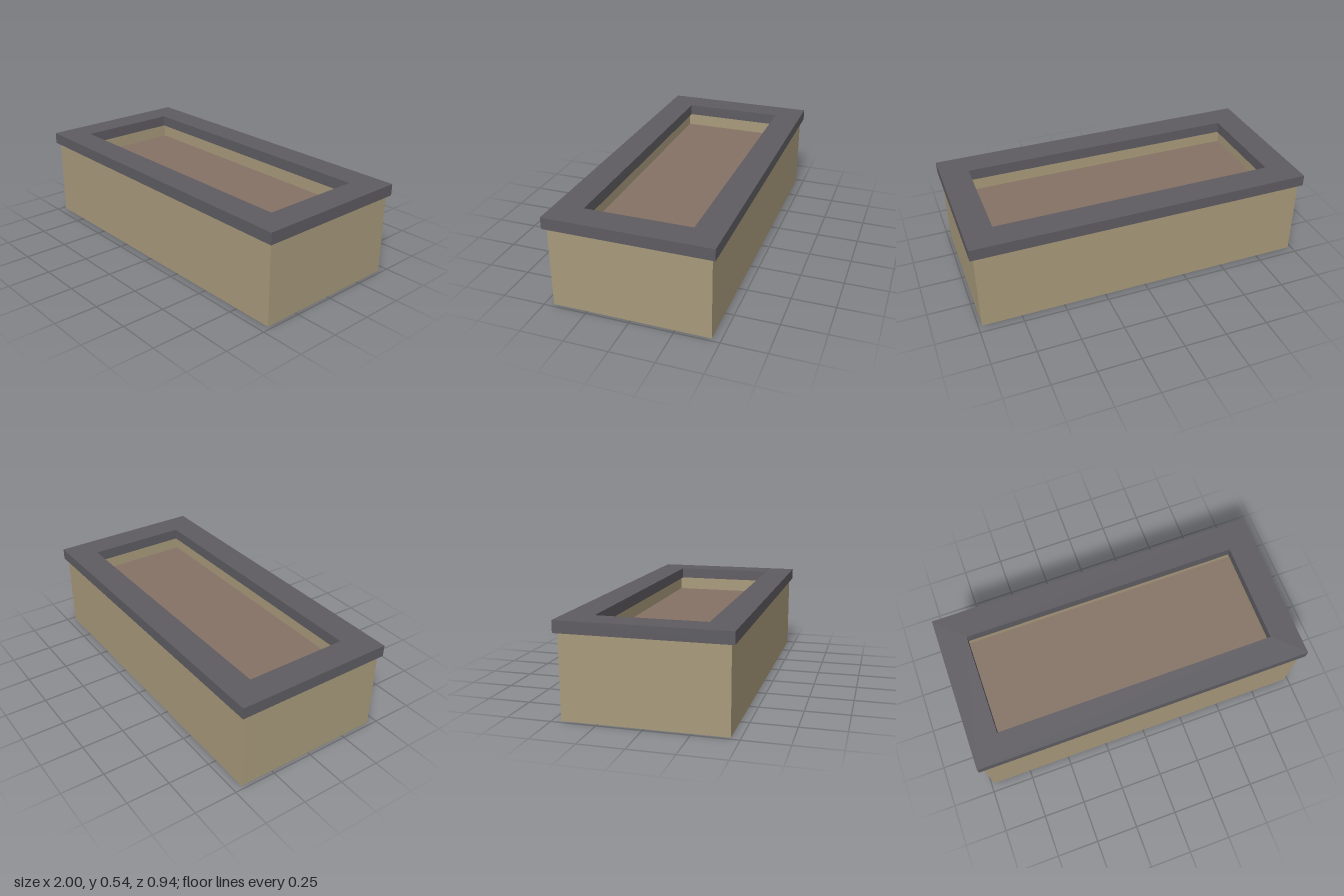
import * as THREE from 'three';

const mat = (name, color) => {
  const m = new THREE.MeshStandardMaterial({ color });
  m.name = name;
  return m;
};

// Rectangle centred on the origin, given by half sizes
const rect = (Type, hx, hz) => new Type([
  new THREE.Vector2(-hx, -hz), new THREE.Vector2(hx, -hz),
  new THREE.Vector2(hx, hz), new THREE.Vector2(-hx, hz),
]);

// Upright rectangular ring standing on height y
function frame(name, outer, inner, y, height, material) {
  const shape = rect(THREE.Shape, ...outer);
  shape.holes.push(rect(THREE.Path, ...inner));
  const geo = new THREE.ExtrudeGeometry(shape, { depth: height, bevelEnabled: false });
  geo.rotateX(-Math.PI / 2);
  const mesh = new THREE.Mesh(geo, material);
  mesh.name = name;
  mesh.position.y = y;
  return mesh;
}

export function createModel() {
  const group = new THREE.Group();
  group.name = 'planter';
  const stone = mat('sandstone', 0xa89a7b);
  const slate = mat('dark slate', 0x5e5c61);
  const earth = mat('brown soil', 0x857265);

  const wallTop = 0.473, top = 0.54, soilTop = 0.39;
  const hx = 0.98, hz = 0.45, thick = 0.125, lip = 0.02;
  const ix = hx - thick, iz = hz - thick;

  // Walls, and a coping that overhangs them inside and out
  group.add(frame('walls', [hx, hz], [ix, iz], 0, wallTop, stone));
  group.add(frame('coping', [hx + lip, hz + lip], [ix - lip, iz - lip], wallTop, top - wallTop, slate));

  // Soil filling the walls from the ground up
  const soil = new THREE.Mesh(new THREE.BoxGeometry(2 * ix, soilTop, 2 * iz), earth);
  soil.name = 'soil';
  soil.position.y = soilTop / 2;
  group.add(soil);

  return group;
}
